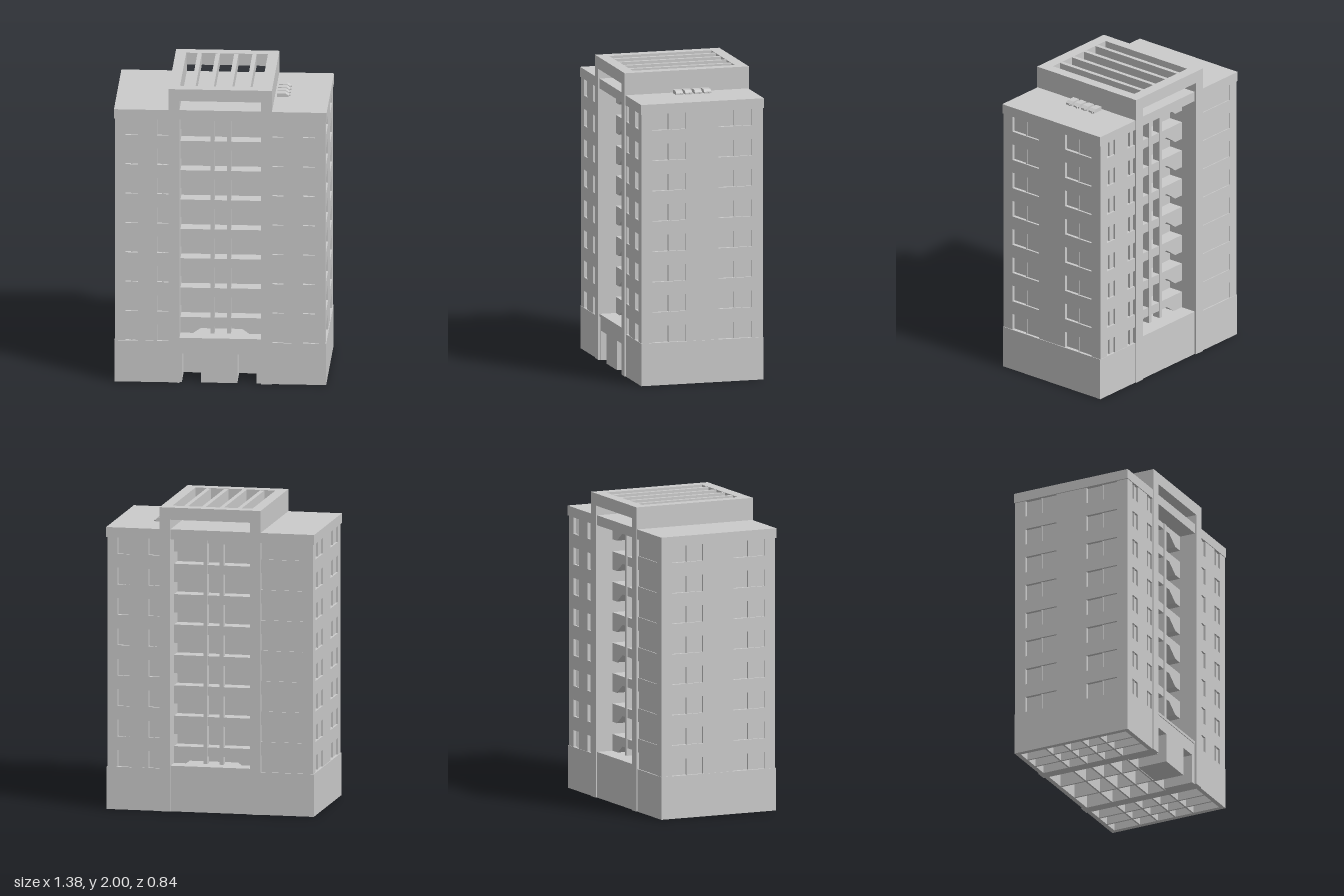
import * as THREE from 'three';

const FLOORS = 8, PITCH = 0.2, SILL = 0.28, WIN_H = 0.11;
const material = new THREE.MeshStandardMaterial({ color: 0xcccccc, flatShading: true });

function mesh(name, geometry, parent) {
  const m = new THREE.Mesh(geometry, material);
  m.name = name;
  parent.add(m);
  return m;
}

// Box given by its limits on each axis
function box(name, parent, x0, x1, y0, y1, z0, z1) {
  const m = mesh(name, new THREE.BoxGeometry(x1 - x0, y1 - y0, z1 - z0), parent);
  m.position.set((x0 + x1) / 2, (y0 + y1) / 2, (z0 + z1) / 2);
  return m;
}

function polygon(points, Type = THREE.Shape) {
  return new Type(points.map(([x, y]) => new THREE.Vector2(x, y)));
}

function rect(x0, x1, y0, y1, Type) {
  return polygon([[x0, y0], [x1, y0], [x1, y1], [x0, y1]], Type);
}

function extrude(name, parent, shape, z0, z1) {
  const g = new THREE.ExtrudeGeometry(shape, { depth: z1 - z0, bevelEnabled: false });
  const m = mesh(name, g, parent);
  m.position.z = z0;
  return m;
}

// Wall facing +z with rows of recessed windows, then turned about y
function windowWall(name, parent, { u0, u1, out, windows, angle = 0, depth = 0.022, split = true }) {
  const group = new THREE.Group();
  group.name = name;
  const shape = rect(u0, u1, 0.2, 1.82);
  for (let f = 0; f < FLOORS; f++) {
    const y0 = SILL + f * PITCH, y1 = y0 + WIN_H;
    for (const [a, b] of windows) {
      shape.holes.push(rect(a, b, y0, y1, THREE.Path));
      if (!split) continue;
      const mid = (a + b) / 2;
      box('windowMullion', group, mid - 0.004, mid + 0.004, y0, y1, out - 0.03, out - 0.008);
      box('slidingPane', group, mid, b, y0, y1, out - 0.03, out - 0.014);
    }
  }
  extrude('wall', group, shape, out - 0.03, out);
  box('windowPanes', group, u0, u1, 0.2, 1.82, out - 0.04, out - depth);
  group.rotation.y = angle;
  parent.add(group);
}

export function createModel() {
  const model = new THREE.Group();
  model.name = 'apartmentBlock';

  // Wing walls with windows
  const wing = [[0.337, 0.41], [0.535, 0.615]];
  const mirrored = wing.map(([a, b]) => [-b, -a]);
  const right = { u0: 0.3, u1: 0.682, out: 0.41 };
  const left = { u0: -0.682, u1: -0.3, out: 0.41 };
  windowWall('frontLeftWall', model, { ...right, windows: wing });
  windowWall('frontRightWall', model, { ...left, windows: mirrored });
  windowWall('backLeftWall', model, { ...left, windows: mirrored, angle: Math.PI });
  windowWall('backRightWall', model, {
    ...right, windows: [[0.337, 0.615]], angle: Math.PI, depth: 0.006, split: false,
  });
  for (const s of [1, -1]) {
    windowWall(s > 0 ? 'leftSideWall' : 'rightSideWall', model, {
      u0: -0.385, u1: 0.385, out: 0.682, angle: s * Math.PI / 2,
      windows: [[-0.335, -0.11], [0.11, 0.335]],
    });
  }

  for (const s of [1, -1]) {
    const X = (a, b) => (s > 0 ? [a, b] : [-b, -a]);
    // Plinth around each wing, roof slab and the tall frame wall
    box('plinthSide', model, ...X(0.655, 0.687), 0, SILL, -0.413, 0.413);
    for (const z of [-0.413, 0.383]) box('plinthWall', model, ...X(0.3, 0.687), 0, SILL, z, z + 0.03);
    box('wingFloor', model, ...X(0.3, 0.67), 0.25, 0.275, -0.4, 0.4);
    box('wingRoof', model, ...X(0.3, 0.69), 1.79, 1.855, -0.415, 0.415);
    box('frameWall', model, ...X(0.265, 0.335), 0, 2, -0.42, 0.42);
    // Ground-floor partitions along z
    for (const x of [0.09, 0.44, 0.55]) box('partition', model, ...X(x, x + 0.012), 0, 0.26, -0.39, 0.39);
  }
  // Ground-floor partitions along x
  for (const z of [-0.2, -0.07, 0.06, 0.19]) {
    box('crossPartition', model, -0.67, 0.67, 0, 0.26, z - 0.006, z + 0.006);
  }

  // Stair core behind the recesses, with its roof
  box('core', model, -0.27, 0.27, 0.25, 1.8, -0.2, 0.2);
  box('coreRoof', model, -0.27, 0.27, 1.79, 1.855, -0.41, 0.41);

  // Crown: ring beam with slats
  const ring = rect(-0.27, 0.27, -0.42, 0.42);
  ring.holes.push(rect(-0.265, 0.265, -0.345, 0.345, THREE.Path));
  const crown = extrude('crownBeam', model, ring, 0, 0.08);
  crown.rotation.x = -Math.PI / 2;
  crown.position.set(0, 1.92, 0);
  for (const x of [-0.178, -0.06, 0.06, 0.178]) {
    box('crownSlat', model, x - 0.014, x + 0.014, 1.92, 1.998, -0.35, 0.35);
  }

  // Balcony bands and slim columns in the front and back recess
  for (const s of [1, -1]) {
    const recess = new THREE.Group();
    recess.name = s > 0 ? 'frontRecess' : 'backRecess';
    for (let f = 0; f < FLOORS; f++) {
      const top = 0.41 + f * PITCH, low = top - 0.12, high = top - 0.06;
      const band = polygon([
        [-0.268, top], [-0.268, low], [-0.2, low], [-0.115, high],
        [0.115, high], [0.2, low], [0.268, low], [0.268, top],
      ]);
      extrude('balconyBand', recess, band, 0.19, 0.3);
    }
    box('topBand', recess, -0.268, 0.268, 1.75, 1.8, 0.19, 0.3);
    for (const side of [-1, 1]) {
      const corner = polygon([
        [side * 0.268, 1.8], [side * 0.268, 1.69], [side * 0.2, 1.69], [side * 0.115, 1.75], [side * 0.115, 1.8],
      ]);
      extrude('topBandEnd', recess, corner, 0.19, 0.299);
    }
    for (const x of [-0.057, 0.05]) box('column', recess, x - 0.013, x + 0.013, 0.28, 1.8, 0.25, 0.305);
    recess.rotation.y = s > 0 ? 0 : Math.PI;
    model.add(recess);
  }

  // Entrance block with two doorways, and the closed block at the back
  const entrance = polygon([
    [-0.268, 0], [-0.25, 0], [-0.25, 0.195], [-0.127, 0.195], [-0.127, 0], [0.11, 0],
    [0.11, 0.195], [0.235, 0.195], [0.235, 0], [0.268, 0], [0.268, 0.288], [-0.268, 0.288],
  ]);
  extrude('entranceBlock', model, entrance, 0.2, 0.405);
  box('entranceCanopy', model, -0.268, 0.268, 0.285, 0.303, 0.19, 0.41);
  box('backBlock', model, -0.268, 0.268, 0, 0.3, -0.41, -0.38);
  box('backLedge', model, -0.268, 0.268, 0.27, 0.3, -0.4, -0.19);

  // Rooftop cooling units: sloped cases with a small outlet
  for (const z of [-0.115, -0.052, 0.013, 0.075]) {
    const unit = polygon([[0.35, 1.85], [0.425, 1.85], [0.425, 1.866], [0.405, 1.88], [0.35, 1.88]]);
    extrude('coolingUnit', model, unit, z - 0.024, z + 0.024);
    const outlet = mesh('coolingOutlet', new THREE.CylinderGeometry(0.006, 0.006, 0.012, 8), model);
    outlet.rotation.z = Math.PI / 2;
    outlet.position.set(0.428, 1.861, z - 0.01);
  }
  return model;
}
